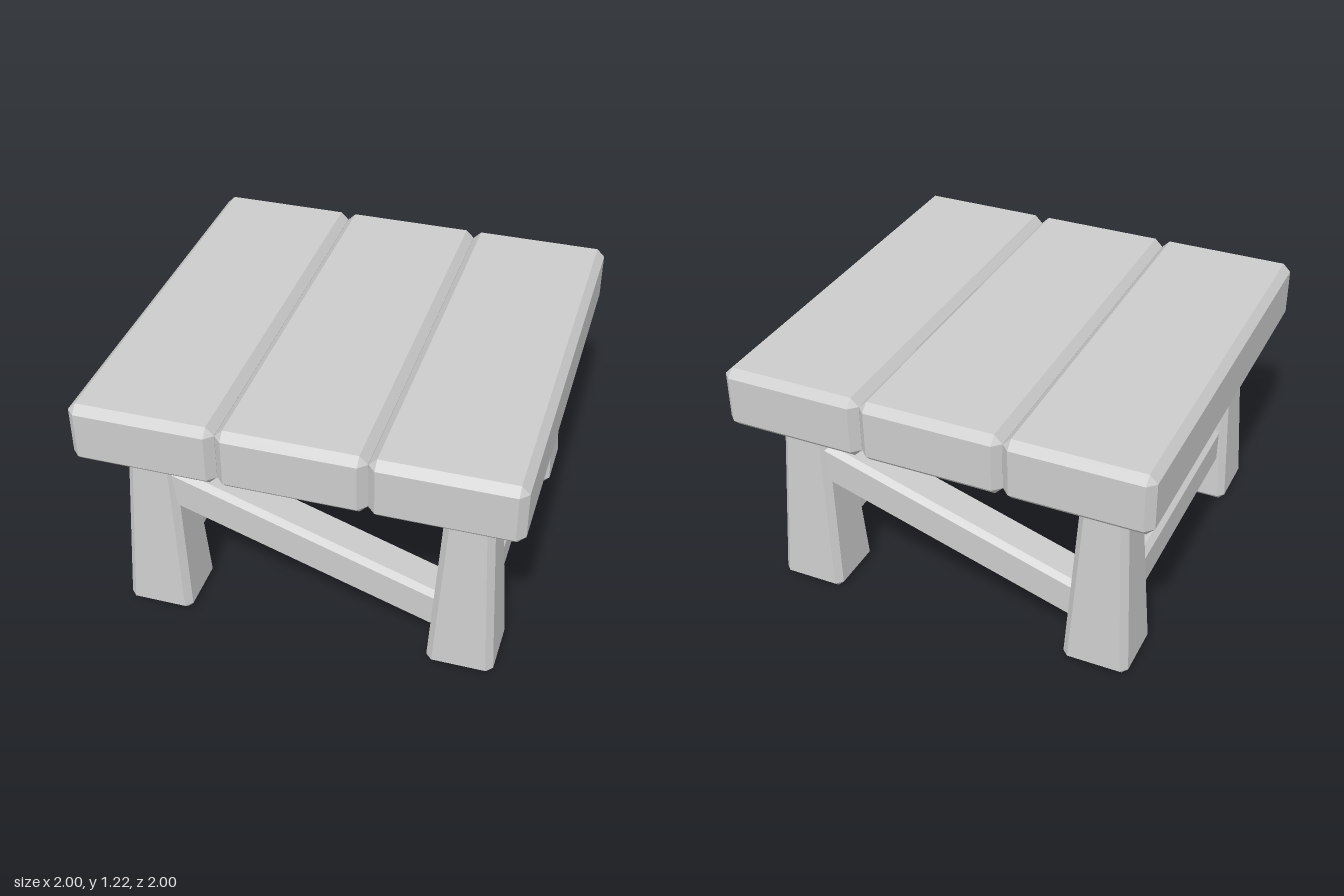
import * as THREE from 'three';
import { ConvexGeometry } from 'three/addons/geometries/ConvexGeometry.js';

const material = new THREE.MeshStandardMaterial({ color: 0xcccccc, flatShading: true });

// Box with all edges bevelled by c; taper scales the half widths at the top.
function bevelledBox(w, h, d, c, taper = 1) {
  const points = [];
  const signs = [-1, 1];
  for (const sx of signs) for (const sy of signs) for (const sz of signs) {
    const k = sy > 0 ? taper : 1;
    const x = w / 2 * k, y = h / 2, z = d / 2 * k;
    points.push(
      new THREE.Vector3(sx * x, sy * (y - c), sz * (z - c)),
      new THREE.Vector3(sx * (x - c), sy * y, sz * (z - c)),
      new THREE.Vector3(sx * (x - c), sy * (y - c), sz * z),
    );
  }
  return new ConvexGeometry(points);
}

export function createModel() {
  const group = new THREE.Group();
  const add = (name, geometry, x, y, z, tilt = 0) => {
    const mesh = new THREE.Mesh(geometry, material);
    mesh.name = name;
    mesh.position.set(x, y, z);
    mesh.rotation.z = tilt;
    group.add(mesh);
  };

  // Table top: three thick planks side by side
  const plank = bevelledBox(0.666, 0.295, 2, 0.037);
  ['rightPlank', 'middlePlank', 'leftPlank'].forEach((name, i) =>
    add(name, plank, (i - 1) * 0.667, 1.068, 0));

  // Four tapered legs
  const leg = bevelledBox(0.312, 0.945, 0.312, 0.03, 0.68);
  for (const [side, x] of [['Right', -0.72], ['Left', 0.735]]) {
    add('front' + side + 'Leg', leg, x, 0.4725, 0.71);
    add('back' + side + 'Leg', leg, x, 0.4725, -0.705);
  }

  // Two horizontal rails on each side
  const rail = bevelledBox(0.2, 0.2, 1.4, 0.026);
  for (const [side, x] of [['right', -0.72], ['left', 0.735]]) {
    add(side + 'UpperRail', rail, x, 0.683, 0);
    add(side + 'LowerRail', rail, x, 0.33, 0);
  }

  // One diagonal brace at the front and one at the back, sloping opposite ways
  const brace = bevelledBox(1.46, 0.2, 0.2, 0.026);
  add('frontBrace', brace, 0, 0.485, 0.71, -0.333);
  add('backBrace', brace, 0, 0.487, -0.705, 0.305);

  return group;
}
